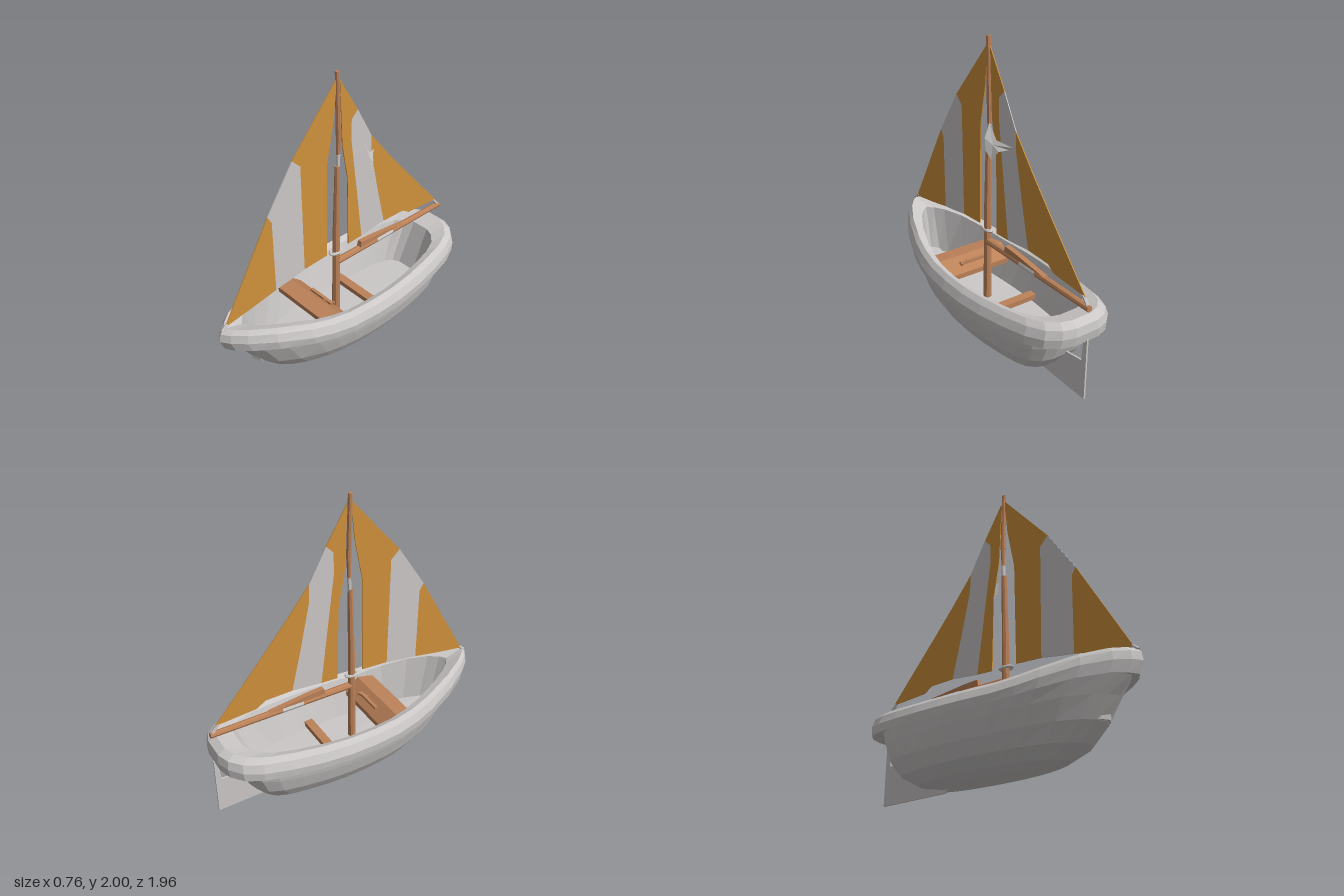
import * as THREE from 'three';

const makeMaterial = (name, color) => {
  const m = new THREE.MeshStandardMaterial({ color, side: THREE.DoubleSide });
  m.name = name;
  return m;
};

// Faceted normals for the low-poly look
function facet(geo) {
  const g = geo.index ? geo.toNonIndexed() : geo;
  g.computeVertexNormals();
  return g;
}

// Half plan outline, stern to bow: [z, x], both relative to the boat's size
const OUTLINE = [[-1, 0], [-1, 0.22], [-0.97, 0.44], [-0.9, 0.64], [-0.78, 0.78], [-0.6, 0.88], [-0.4, 0.96],
  [-0.2, 1], [0, 0.995], [0.2, 0.95], [0.36, 0.88], [0.5, 0.79], [0.72, 0.57], [0.88, 0.33], [0.96, 0.15], [1, 0]];

// Hull levels from keel, over the rail, down to the floor:
// [stern z, bow z, half width, y, share of sheer, bluntness power]
const LEVELS = [
  [-0.45, 0.30, 0.10, 0.03, 0, 0.7],
  [-0.60, 0.47, 0.18, 0.055, 0, 0.7],
  [-0.71, 0.62, 0.26, 0.11, 0.1, 0.75],
  [-0.79, 0.73, 0.315, 0.20, 0.25, 0.8],
  [-0.84, 0.82, 0.345, 0.30, 0.5, 0.87],
  [-0.87, 0.90, 0.36, 0.37, 0.8, 0.95],
  [-0.97, 0.95, 0.375, 0.36, 0.8, 0.95],
  [-0.98, 0.98, 0.38, 0.41, 1, 1],
  [-0.97, 0.97, 0.355, 0.465, 1, 1],
  [-0.92, 0.94, 0.325, 0.493, 1, 1],
  [-0.80, 0.81, 0.285, 0.475, 0.8, 1],
  [-0.67, 0.75, 0.21, 0.21, 0.2, 0.75]];

function hullGeometry() {
  const mirrored = OUTLINE.slice(1, -1).reverse().map(([z, x]) => [z, -x]);
  const loop = [...OUTLINE, ...mirrored];
  const n = loop.length;
  const pos = [], idx = [];
  for (const [back, front, w, y, sheer, power] of LEVELS) {
    for (const [z, x] of loop) {
      const rise = sheer * (z > 0 ? 0.118 * THREE.MathUtils.smoothstep(z, 0.15, 1) : 0.06 * z * z);
      pos.push(Math.sign(x) * Math.abs(x) ** power * w, y + rise, back + (front - back) * (z + 1) / 2);
    }
  }
  for (let l = 0; l < LEVELS.length - 1; l++) {
    for (let i = 0; i < n; i++) {
      const a = l * n + i, b = l * n + (i + 1) % n;
      idx.push(a, a + n, b, a + n, b + n, b);
    }
  }
  // Keel and floor caps
  const last = (LEVELS.length - 1) * n;
  pos.push(0, 0.03, -0.08, 0, 0.21, 0);
  const keel = last + n, floor = keel + 1;
  for (let i = 0; i < n; i++) {
    const j = (i + 1) % n;
    idx.push(keel, i, j, floor, last + j, last + i);
  }
  const g = new THREE.BufferGeometry();
  g.setAttribute('position', new THREE.Float32BufferAttribute(pos, 3));
  g.setIndex(idx);
  return g;
}

// Plate cut from [z, y] points, with its thickness along x
function plate(points, thickness) {
  const shape = new THREE.Shape(points.map(([z, y]) => new THREE.Vector2(z, y)));
  const g = new THREE.ExtrudeGeometry(shape, { depth: thickness, bevelEnabled: false });
  g.translate(0, 0, -thickness / 2);
  return g.rotateY(-Math.PI / 2);
}

// Tapered round pole between two points
function pole(from, to, r0, r1, sides = 8) {
  const a = new THREE.Vector3(...from), b = new THREE.Vector3(...to);
  const dir = b.clone().sub(a);
  const g = new THREE.CylinderGeometry(r1, r0, dir.length(), sides);
  g.applyQuaternion(new THREE.Quaternion().setFromUnitVectors(new THREE.Vector3(0, 1, 0), dir.normalize()));
  const mid = a.add(b).multiplyScalar(0.5);
  return g.translate(mid.x, mid.y, mid.z);
}

export function createModel() {
  const boat = new THREE.Group();
  boat.name = 'sailboat';
  const grey = makeMaterial('pale grey', 0xcbc8c7);
  const orange = makeMaterial('sail orange', 0xd0913c);
  const wood = makeMaterial('wood', 0xbc8259);

  const add = (name, geo, mat) => {
    const m = new THREE.Mesh(facet(geo), mat);
    m.name = name;
    boat.add(m);
    return m;
  };

  add('hull', hullGeometry(), grey);
  add('rudder', plate([[-0.42, 0.03], [-0.45, 0.008], [-0.98, 0], [-0.98, 0.42], [-0.95, 0.42],
    [-0.94, 0.26], [-0.76, 0.235], [-0.6, 0.06]], 0.012), grey);

  // Seats
  add('frontBench', plate([[0.34, 0.45], [0.23, 0.46], [0.13, 0.38], [0.13, 0.345], [0.23, 0.425],
    [0.34, 0.415]], 0.52), wood);
  const thwart = add('rearThwart', new THREE.BoxGeometry(0.45, 0.035, 0.06), wood);
  thwart.position.set(0, 0.25, -0.19);
  const handle = add('benchHandle', new THREE.BoxGeometry(0.2, 0.02, 0.022), wood);
  handle.position.set(0.02, 0.43, 0.175);
  const peg = add('benchPeg', new THREE.BoxGeometry(0.08, 0.015, 0.015), wood);
  peg.position.set(0.09, 0.43, 0.175);
  peg.rotation.y = 0.5;

  // Mast and spars
  add('lowerMast', pole([0, 0.21, 0.03], [0, 0.9, 0.025], 0.027, 0.023), wood);
  add('middleMast', pole([0, 0.9, 0.025], [0, 1.37, 0.015], 0.023, 0.017), wood);
  add('mastJoint', pole([0, 1.35, 0.01], [0, 1.45, 0.008], 0.012, 0.013), grey);
  add('mastNeck', pole([0, 1.45, 0.008], [0, 1.6, 0.005], 0.012, 0.016), wood);
  add('upperMast', pole([0, 1.58, 0.005], [0, 2, 0.015], 0.017, 0.014), wood);
  const collar = add('mastCollar', new THREE.TorusGeometry(0.03, 0.011, 6, 10), grey);
  collar.rotation.x = Math.PI / 2;
  collar.scale.set(0.8, 1.4, 1);
  collar.position.set(0, 0.72, 0.03);
  add('boom', pole([0, 0.635, 0.02], [0, 0.63, -0.98], 0.024, 0.02), wood);
  add('boomWedge', plate([[-0.18, 0.65], [-0.19, 0.692], [-0.3, 0.685], [-0.58, 0.652]], 0.035), wood);
  add('boomWrap', pole([0, 0.634, -0.34], [0, 0.633, -0.49], 0.0245, 0.0235), grey);
  add('sheetLink', pole([0, 0.645, -0.96], [0, 0.695, -0.92], 0.012, 0.009, 6), grey);
  add('bowLink', pole([0, 0.6, 0.95], [0, 0.635, 0.915], 0.014, 0.008, 6), grey);

  // Sails, each cut into three stripes
  const sail = (name, mat, points) => add(name, plate(points, 0.006), mat);
  sail('jibOuterStripe', orange, [[0.93, 0.62], [0.57, 1.25], [0.54, 1.2], [0.535, 0.685], [0.7, 0.655]]);
  sail('jibMiddleStripe', grey, [[0.57, 1.25], [0.37, 1.55], [0.31, 1.49], [0.3, 0.72], [0.42, 0.7],
    [0.535, 0.685], [0.54, 1.2]]);
  sail('jibInnerStripe', orange, [[0.37, 1.55], [0.015, 1.96], [0.03, 1.85], [0.045, 1.7], [0.1, 1.42],
    [0.11, 0.73], [0.3, 0.72], [0.31, 1.49]]);
  sail('mainInnerStripe', orange, [[-0.005, 1.94], [-0.15, 1.7], [-0.1, 1.65], [-0.1, 1.5], [-0.14, 1.2],
    [-0.2, 0.735], [-0.08, 0.73], [-0.07, 1.25], [-0.025, 1.5]]);
  sail('mainMiddleStripe', grey, [[-0.15, 1.7], [-0.27, 1.48], [-0.275, 1.35], [-0.34, 1.05], [-0.41, 0.755],
    [-0.2, 0.735], [-0.14, 1.2], [-0.1, 1.5], [-0.1, 1.65]]);
  sail('mainOuterStripe', orange, [[-0.27, 1.48], [-0.43, 1.28], [-0.6, 1.08], [-0.94, 0.69], [-0.66, 0.71],
    [-0.6, 0.75], [-0.41, 0.755], [-0.34, 1.05], [-0.275, 1.35]]);

  // Loose pointed pennant beside the main sail
  const rim = [[0.09, 1.52, -0.125], [0.08, 1.42, -0.18], [0.03, 1.39, -0.275], [0.04, 1.37, -0.25],
    [0.085, 1.355, -0.21], [0.11, 1.3, -0.17], [0.13, 1.35, -0.14], [0.13, 1.43, -0.13]];
  const pennant = new THREE.BufferGeometry();
  const tris = rim.flatMap((p, i) => [[0.1, 1.39, -0.17], p, rim[(i + 1) % rim.length]]).flat();
  pennant.setAttribute('position', new THREE.Float32BufferAttribute(tris, 3));
  add('pennant', pennant, grey);

  return boat;
}
